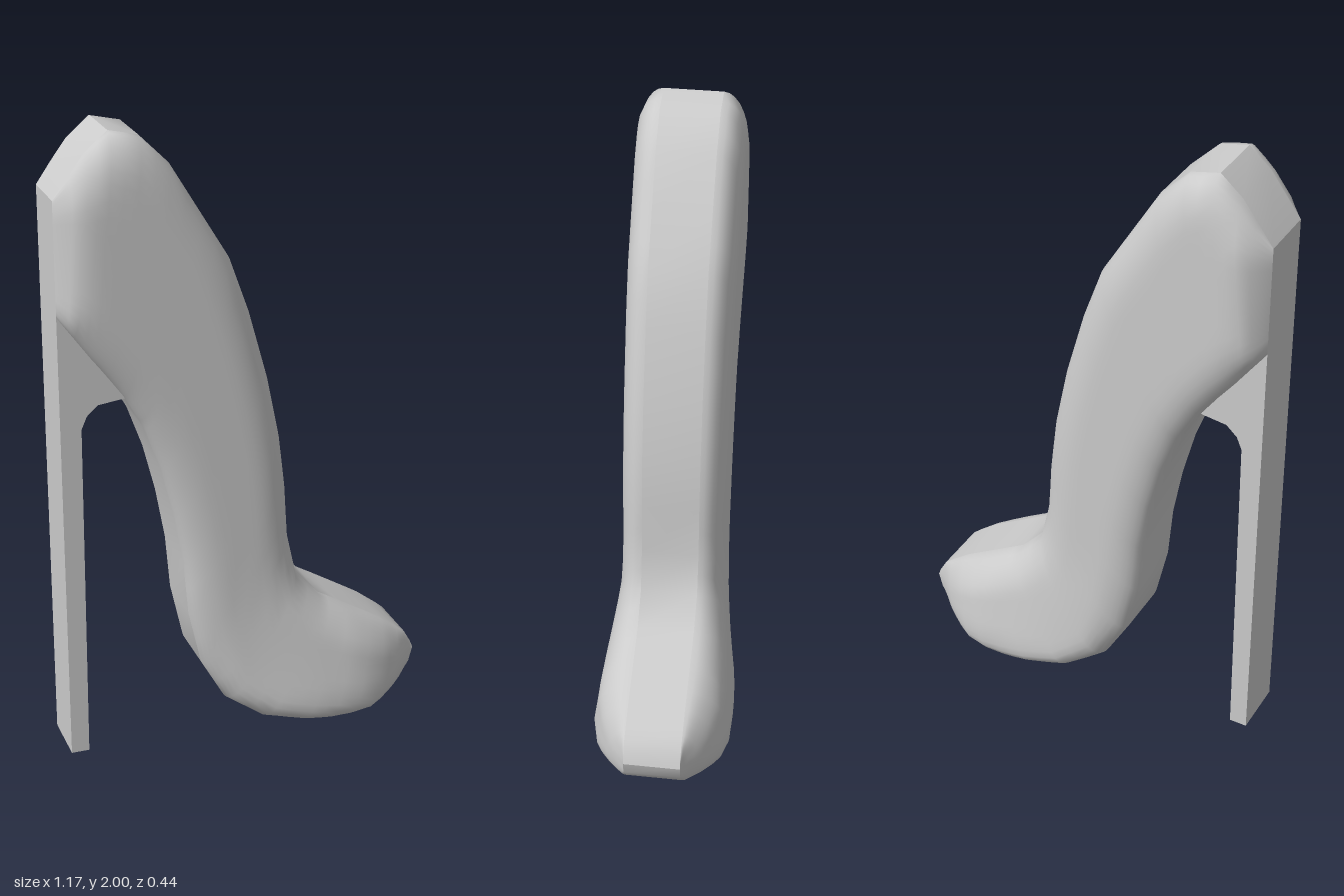
import * as THREE from 'three';
import { toCreasedNormals } from 'three/addons/utils/BufferGeometryUtils.js';

const BAND = 0.09; // half width of the flat rim and of the heel

// Cross-sections from ankle to toe: [sole x, sole y, upper x, upper y]
const SECTIONS = [
  [-0.587, 1.46, -0.587, 1.81], [-0.54, 1.395, -0.49, 1.94], [-0.49, 1.325, -0.42, 2.0],
  [-0.44, 1.26, -0.33, 1.98], [-0.39, 1.19, -0.24, 1.89], [-0.36, 1.135, -0.15, 1.74],
  [-0.33, 1.08, -0.06, 1.59], [-0.28, 0.94, 0, 1.42], [-0.24, 0.78, 0.06, 1.2],
  [-0.21, 0.61, 0.1, 1.0], [-0.195, 0.43, 0.12, 0.83], [-0.155, 0.25, 0.13, 0.66],
  [-0.08, 0.115, 0.16, 0.52], [0.03, 0.04, 0.24, 0.43], [0.16, 0.01, 0.3, 0.395],
  [0.25, 0, 0.35, 0.365], [0.39, 0, 0.46, 0.3], [0.47, 0.025, 0.52, 0.255],
  [0.53, 0.06, 0.55, 0.23], [0.57, 0.115, 0.573, 0.19], [0.583, 0.165, 0.583, 0.165],
];

const sole = SECTIONS.map(([x, y]) => new THREE.Vector2(x, y));
const upper = SECTIONS.map(([, , x, y]) => new THREE.Vector2(x, y));
const outline = [...sole, ...upper.slice(0, -1).reverse()];
const clamp01 = (v) => THREE.MathUtils.clamp(v, 0, 1);

function distanceToOutline(p) {
  let best = Infinity;
  outline.forEach((a, i) => {
    const edge = outline[(i + 1) % outline.length].clone().sub(a);
    const t = clamp01(p.clone().sub(a).dot(edge) / edge.lengthSq());
    best = Math.min(best, p.distanceTo(edge.multiplyScalar(t).add(a)));
  });
  return best;
}

// Half thickness: rounds up from the rim, widens at the ball, tapers to the toe
function halfThickness(p) {
  const ball = clamp01((0.5 - p.y) / 0.38) * Math.sin(clamp01((p.x + 0.12) / 0.36) * Math.PI / 2);
  const toe = 1 - Math.pow(clamp01((p.x - 0.34) / 0.24), 1.6);
  const radius = THREE.MathUtils.lerp(0.05, 0.12, clamp01(p.y / 0.3));
  const s = 1 - clamp01(distanceToOutline(p) / radius);
  return BAND + (0.075 + 0.055 * ball) * toe * Math.sqrt(1 - s * s);
}

function buildGeometry(positions, index) {
  const g = new THREE.BufferGeometry();
  g.setAttribute('position', new THREE.Float32BufferAttribute(positions, 3));
  g.setIndex(index);
  g.computeVertexNormals();
  return g;
}

// Pillowed side: a grid running from sole to upper in every section
function sideGeometry(sign) {
  const cols = 20, sub = 2, rows = (SECTIONS.length - 1) * sub;
  const pos = [], idx = [];
  for (let i = 0; i <= rows; i++) {
    const k = Math.min(Math.floor(i / sub), SECTIONS.length - 2);
    const f = i / sub - k;
    const a = sole[k].clone().lerp(sole[k + 1], f);
    const b = upper[k].clone().lerp(upper[k + 1], f);
    for (let j = 0; j <= cols; j++) {
      const p = a.clone().lerp(b, 0.5 - 0.5 * Math.cos(Math.PI * j / cols));
      pos.push(p.x, p.y, sign * halfThickness(p));
    }
  }
  for (let i = 0; i < rows; i++) {
    for (let j = 0; j < cols; j++) {
      const a = i * (cols + 1) + j, b = a + 1, c = a + cols + 1, d = c + 1;
      if (sign > 0) idx.push(a, c, b, b, c, d);
      else idx.push(a, b, c, b, d, c);
    }
  }
  return buildGeometry(pos, idx);
}

// Flat band that follows the whole outline
function rimGeometry() {
  const pos = [], idx = [], n = outline.length;
  outline.forEach((p, i) => {
    pos.push(p.x, p.y, BAND, p.x, p.y, -BAND);
    const a = 2 * i, q = 2 * ((i + 1) % n);
    idx.push(a, a + 1, q + 1, a, q + 1, q);
  });
  return toCreasedNormals(buildGeometry(pos, idx), 0.6);
}

// Tall thin heel with a small curved web under the arch
function heelGeometry() {
  const s = new THREE.Shape();
  s.moveTo(-0.587, 0);
  s.lineTo(-0.53, 0);
  s.lineTo(-0.522, 1.1);
  s.lineTo(-0.505, 1.14);
  s.lineTo(-0.47, 1.172);
  s.lineTo(-0.385, 1.183);
  s.lineTo(-0.587, 1.46);
  const g = new THREE.ExtrudeGeometry(s, { depth: 2 * BAND, bevelEnabled: false });
  return g.translate(0, 0, -BAND);
}

export function createModel() {
  const group = new THREE.Group();
  group.name = 'highHeelShoe';
  const material = new THREE.MeshStandardMaterial({ color: 0xcccccc });
  const add = (name, geometry) => {
    const mesh = new THREE.Mesh(geometry, material);
    mesh.name = name;
    group.add(mesh);
  };
  add('leftSide', sideGeometry(1));
  add('rightSide', sideGeometry(-1));
  add('rim', rimGeometry());
  add('heel', heelGeometry());
  return group;
}
